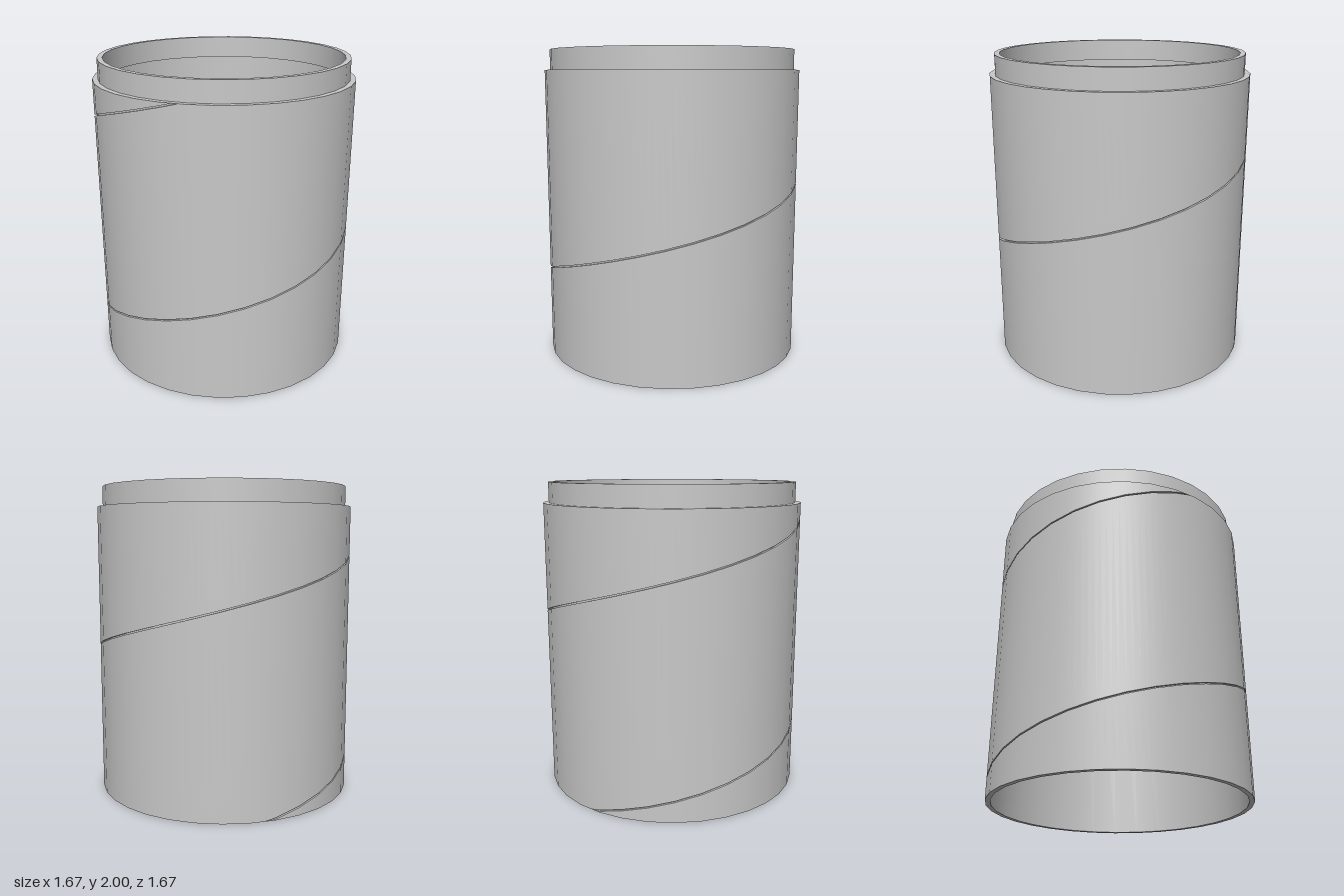
import * as THREE from 'three';

const SIDES = 32, SUB = 4;            // facets round the tube, and slices per facet
const R = 0.835, BORE = 0.803;        // sleeve
const NECK = 0.8, NECK_BORE = 0.766;  // neck
const LEDGE = 1.856, SHOULDER = 1.87, TOP = 2;
const PITCH = 1.333, START = 0.47;    // spiral rise per turn, and its height at the front
const HALF = 0.0045, DEPTH = 0.014;   // groove half width and depth

// One sharp-edged ring surface per pair of consecutive profile points
function rings(name, profile, material) {
  const group = new THREE.Group();
  group.name = name;
  for (let i = 0; i + 1 < profile.length; i++) {
    const pts = [profile[i], profile[i + 1]].map(([r, y]) => new THREE.Vector2(r, y));
    const mesh = new THREE.Mesh(new THREE.LatheGeometry(pts, SIDES), material);
    mesh.name = name + 'Surface';
    group.add(mesh);
  }
  return group;
}

// Outer wall with a spiral groove cut into it
function groovedWall() {
  const pos = [], nor = [];
  const step = Math.PI * 2 / SIDES;
  const clampY = y => Math.min(SHOULDER, Math.max(0, y));

  // profile of the wall at one slice, bottom to top
  const column = i => {
    const a = i / SUB * step;
    const local = a - (Math.floor(i / SUB) + 0.5) * step;
    const flat = Math.cos(step / 2) / Math.cos(local);
    const pts = [[R, 0]];
    for (let k = -1; k <= 1; k++) {
      const c = START + PITCH * (a / (Math.PI * 2) + k);
      const lo = clampY(c - HALF), hi = clampY(c + HALF);
      const r = hi > lo ? R - DEPTH : R;
      pts.push([R, lo], [r, lo], [r, hi], [R, hi]);
    }
    pts.push([R, SHOULDER]);
    return pts.map(([r, y]) => ({
      p: [Math.sin(a) * r * flat, y, Math.cos(a) * r * flat],
      n: [Math.sin(a), 0, Math.cos(a)],
    }));
  };

  const put = (v, n) => { pos.push(...v.p); nor.push(...(n || v.n)); };
  for (let i = 0; i < SIDES * SUB; i++) {
    const A = column(i), B = column(i + 1);
    for (let j = 0; j + 1 < A.length; j++) {
      // ledges of the groove face up or down, all the rest faces outwards
      const kind = j % 4;
      const n = kind === 1 ? [0, 1, 0] : kind === 3 ? [0, -1, 0] : null;
      for (const v of [A[j], B[j], A[j + 1], B[j], B[j + 1], A[j + 1]]) put(v, n);
    }
  }
  const g = new THREE.BufferGeometry();
  g.setAttribute('position', new THREE.Float32BufferAttribute(pos, 3));
  g.setAttribute('normal', new THREE.Float32BufferAttribute(nor, 3));
  return g;
}

export function createModel() {
  const model = new THREE.Group();
  model.name = 'spiralTube';
  const grey = new THREE.MeshStandardMaterial({ color: 0xc8c8c8 });
  grey.name = 'plainGrey';

  // Outer sleeve with the spiral seam
  const sleeve = new THREE.Mesh(groovedWall(), grey);
  sleeve.name = 'sleeve';
  model.add(sleeve);

  // Shoulder, raised neck, rim and the underside of the neck
  model.add(rings('neck', [
    [R, SHOULDER], [NECK, SHOULDER], [NECK, TOP], [NECK_BORE, TOP], [NECK_BORE, LEDGE], [BORE, LEDGE],
  ], grey));

  // Wider bore of the sleeve and its bottom edge
  model.add(rings('bore', [[BORE, LEDGE], [BORE, 0], [R, 0]], grey));
  return model;
}
